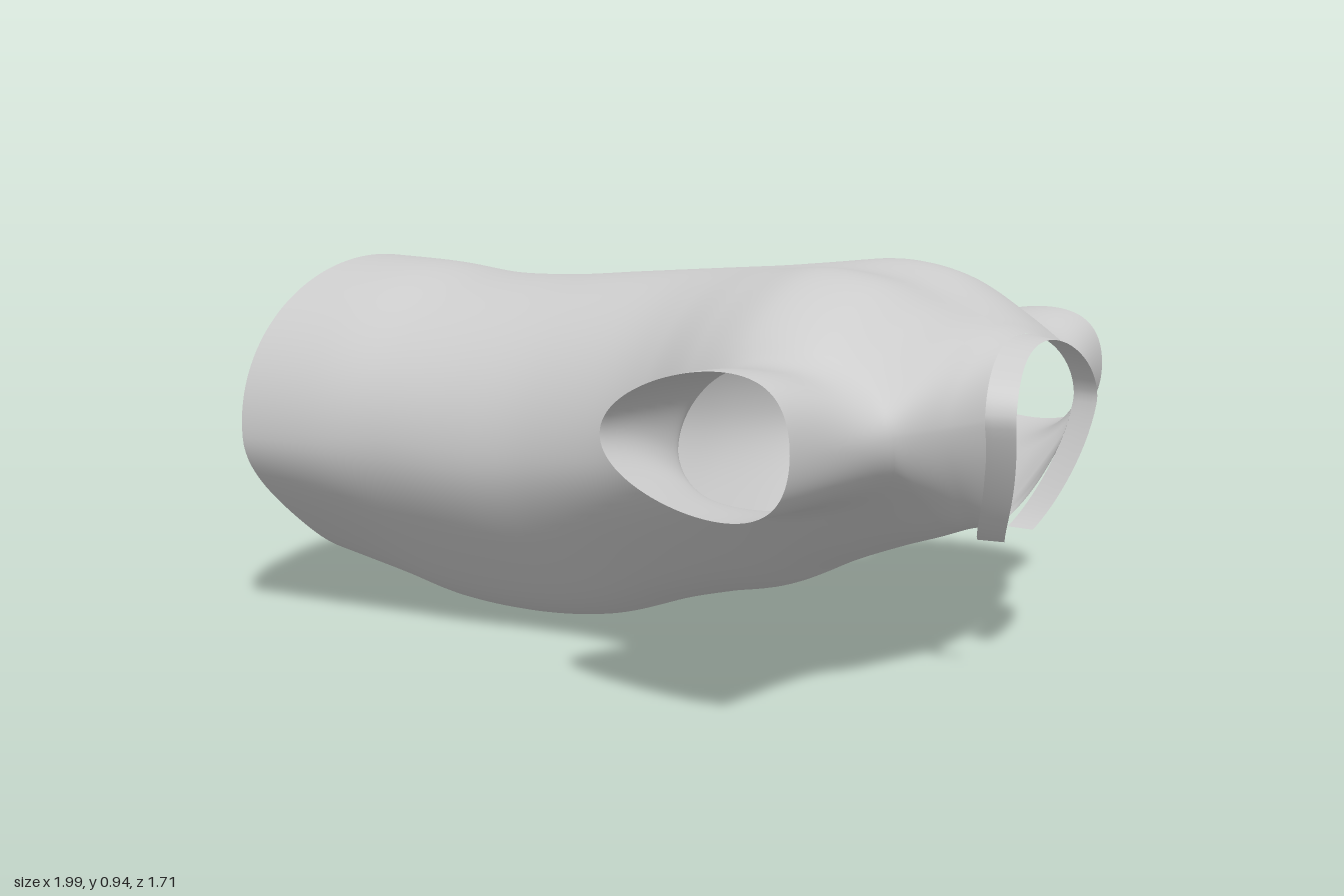
import * as THREE from 'three';

// Torso stations from hem to neck:
// x, top, bottom, widest height, half width, tilt, bow, chest dip, shoulder pinch
const STATIONS = [
  [-0.985, 0.915, 0.10, 0.48, 0.548, -0.045, -0.1, 0, 0],
  [-0.77, 0.905, 0.055, 0.48, 0.532, -0.03, -0.05, 0, 0],
  [-0.57, 0.883, 0.012, 0.48, 0.507, 0, 0, 0, 0],
  [-0.35, 0.885, 0.002, 0.47, 0.487, 0, 0, 0, 0],
  [-0.15, 0.90, 0.025, 0.48, 0.472, 0, 0, 0, 0],
  [0.05, 0.915, 0.09, 0.50, 0.487, 0, 0, 0, 0],
  [0.20, 0.937, 0.13, 0.53, 0.525, 0, 0, 0.012, 0],
  [0.35, 0.959, 0.165, 0.58, 0.59, 0, 0, 0.028, 0],
  [0.50, 0.972, 0.235, 0.62, 0.635, 0, 0, 0.042, 0],
  [0.65, 0.945, 0.29, 0.63, 0.64, 0, 0.1, 0.038, 0.02],
  [0.77, 0.887, 0.325, 0.63, 0.615, 0, 0.3, 0.026, 0.07],
  [0.85, 0.84, 0.347, 0.63, 0.54, 0, 0.6, 0.012, 0.1],
  [0.898, 0.815, 0.353, 0.63, 0.39, 0, 0.9, 0, 0.06],
  [0.93, 0.80, 0.353, 0.63, 0.262, 0, 1.1, 0, 0],
];
const LAST = STATIONS.length - 1;

// Armhole: an ellipse in (station, angle) space
const ARM = { u: 9, ru: 1.98, a: -0.05, ra: 0.61 };

// Smooth interpolation of one station column
function sample(u, k) {
  const i = Math.min(Math.floor(u), LAST - 1), t = u - i;
  const p = (j) => STATIONS[Math.max(0, Math.min(LAST, j))][k];
  const a = p(i - 1), b = p(i), c = p(i + 1), d = p(i + 2);
  return b + 0.5 * t * (c - a + t * (2 * a - 5 * b + 4 * c - d + t * (3 * (b - c) + d - a)));
}

// Point on the torso; angle 0 is the +z side, PI/2 the top
function torsoPoint(u, angle) {
  const [x, top, bottom, mid, w, tilt, bow, dip, pinch] = STATIONS[0].map((_, k) => sample(u, k));
  const s = Math.sin(angle), c = Math.cos(angle);
  const slim = 1 - pinch * 4 * s * s * c * c;
  let y = mid + s * slim * (s > 0 ? top - mid : mid - bottom);
  let z = w * c * slim;
  // the belly tapers downward and the neckline narrows to the throat
  if (s < 0) {
    z *= 1 - 0.5 * s * s * c * c * Math.min(1, (LAST - u) / 4);
    z *= 1 + 0.35 * s * Math.abs(c) * Math.max(0, 1 - (LAST - u) / 2);
  }
  if (s > 0) y -= dip * Math.exp(-((z / 0.16) ** 2));
  return new THREE.Vector3(x + tilt * (y - 0.5) - bow * (y - 0.63) ** 2, y, z);
}

const fabric = new THREE.MeshStandardMaterial({ color: 0xcccccc, side: THREE.DoubleSide });

// Grid surface; wrap joins the last column to the first, keep() may drop cells
function gridMesh(name, rows, cols, wrap, point, keep = () => true) {
  const n = wrap ? cols : cols + 1, pos = [], index = [];
  for (let i = 0; i <= rows; i++)
    for (let j = 0; j < n; j++) pos.push(...point(i / rows, j / cols).toArray());
  for (let i = 0; i < rows; i++)
    for (let j = 0; j < cols; j++) {
      const k = (j + 1) % n;
      if (!keep([[i, j], [i + 1, j], [i, k], [i + 1, k]])) continue;
      const a = i * n + j, b = i * n + k, c = a + n, d = b + n;
      index.push(a, b, c, b, d, c);
    }
  const geo = new THREE.BufferGeometry();
  geo.setAttribute('position', new THREE.Float32BufferAttribute(pos, 3));
  geo.setIndex(index);
  geo.computeVertexNormals();
  const mesh = new THREE.Mesh(geo, fabric);
  mesh.name = name;
  return mesh;
}

// Torso with both armholes cut: vertices inside an armhole slide to its rim
function makeTorso() {
  const rows = LAST * 10, cols = 120;
  const local = (v, w) => {
    const angle = -Math.PI / 2 + w * Math.PI * 2;
    const back = angle > Math.PI / 2;
    const u = v * LAST, da = (back ? Math.PI - angle : angle) - ARM.a;
    const r = Math.hypot((u - ARM.u) / ARM.ru, da / ARM.ra);
    return { u, da, back, r };
  };
  return gridMesh('torso', rows, cols, true, (v, w) => {
    const { u, da, back, r } = local(v, w);
    const push = Math.min(1, Math.max(r, 1e-3));
    const p = torsoPoint(ARM.u + (u - ARM.u) / (r < 1 ? push : 1), ARM.a + da / push);
    if (back) p.z *= -1;
    return p;
  }, (corners) => corners.some(([i, j]) => local(i / rows, j / cols).r >= 1));
}

// Sleeve: leaves the armhole rim along the torso surface, then tapers to the open cuff
function makeSleeve(name, side) {
  return gridMesh(name, 24, 96, true, (t, w) => {
    const f = w * Math.PI * 2, c = Math.cos(f), s = Math.sin(f);
    const rim = (r) => torsoPoint(ARM.u + ARM.ru * r * c, ARM.a + ARM.ra * r * s);
    const root = rim(1.005);
    const cuff = new THREE.Vector3(0.545 + 0.235 * c + 0.07 * s * s, 0.633 + 0.152 * s, 0);
    cuff.z = 0.84 + 0.07 * (cuff.x - 0.55);
    const reach = 0.08 + 0.02 * Math.abs(s) - 0.04 * Math.max(0, -c);
    const leave = rim(0.95).sub(rim(1)).setLength(reach).add(root);
    const arrive = cuff.clone().lerp(root, 0.25);
    arrive.z = cuff.z - 0.16;
    const p = new THREE.CubicBezierCurve3(root, leave, arrive, cuff).getPoint(t);
    p.z *= side;
    return p;
  });
}

// Collar band standing on the neck edge, open at the throat
function makeCollar() {
  const gap = 0.4;
  return gridMesh('collar', 4, 72, false, (t, w) => {
    const p = torsoPoint(LAST, -Math.PI / 2 + gap + w * 2 * (Math.PI - gap));
    const below = Math.max(0, 0.63 - p.y);
    p.x += 0.065 * t - 0.06 * below;
    p.z *= 1 - 0.07 * t;
    p.y -= below * 0.15 + Math.max(0, p.y - 0.63) * 0.06 * t;
    return p;
  });
}

export function createModel() {
  const group = new THREE.Group();
  group.name = 'shirt';
  group.add(makeTorso(), makeSleeve('frontSleeve', 1), makeSleeve('backSleeve', -1), makeCollar());
  return group;
}
